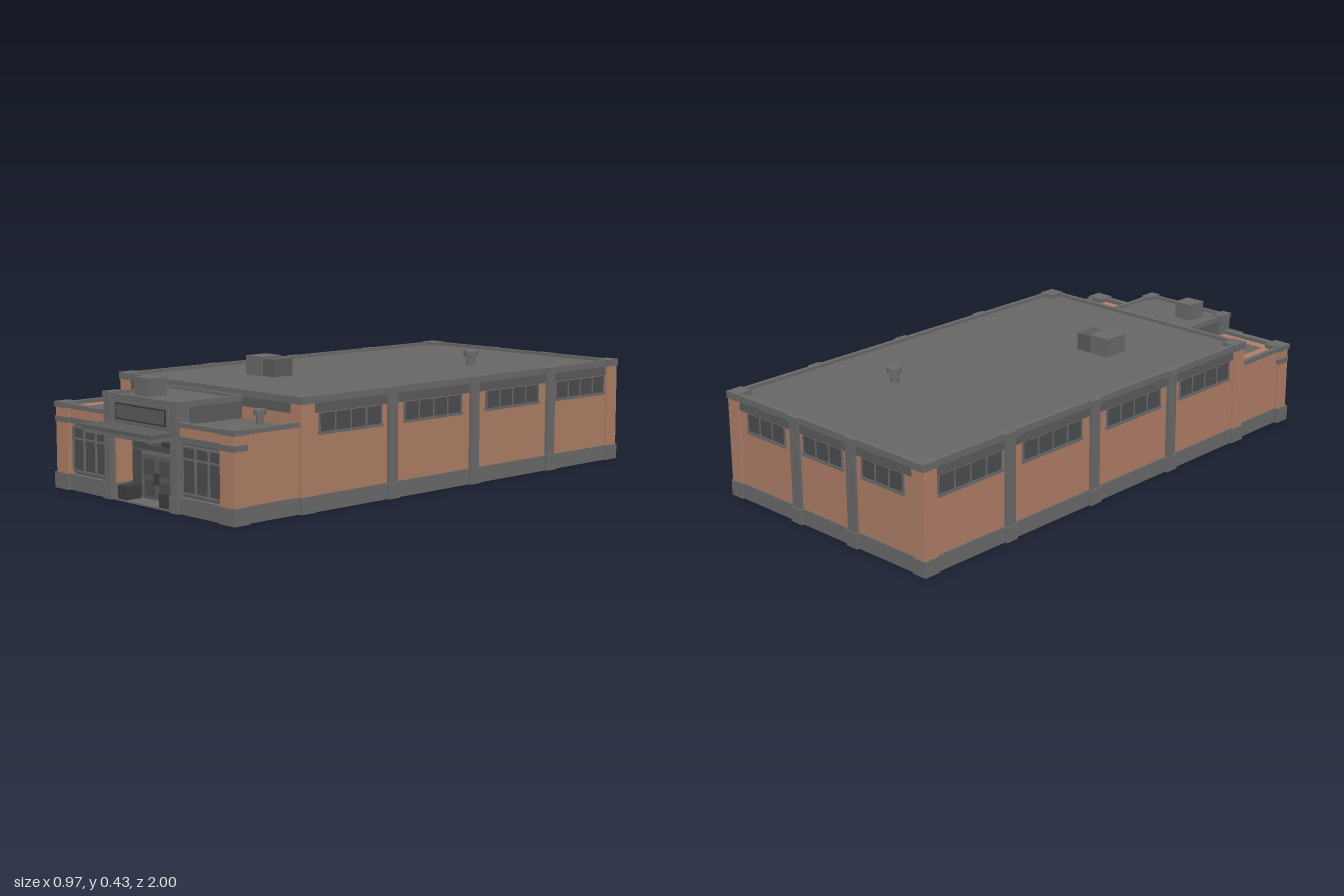
import * as THREE from 'three';

const mat = (name, color) => {
  const m = new THREE.MeshStandardMaterial({ color });
  m.name = name;
  return m;
};

export function createModel() {
  const brick = mat('brick', 0xb07f67);
  const trim = mat('grey trim', 0x6a6a6a);
  const roof = mat('roof grey', 0x686765);
  const panel = mat('grey panel', 0x5c5c5c);
  const glass = mat('dark glass', 0x4c4d4f);
  const dark = mat('dark metal', 0x3c3c3c);
  const model = new THREE.Group();
  model.name = 'building';

  // Box from its limits on each axis
  const box = (name, m, x0, x1, y0, y1, z0, z1, parent = model) => {
    const mesh = new THREE.Mesh(new THREE.BoxGeometry(x1 - x0, y1 - y0, z1 - z0), m);
    mesh.position.set((x0 + x1) / 2, (y0 + y1) / 2, (z0 + z1) / 2);
    mesh.name = name;
    parent.add(mesh);
    return mesh;
  };
  // Same box on both sides of x = 0
  const pair = (name, m, x0, x1, ...rest) => {
    box(name + 'Left', m, x0, x1, ...rest);
    box(name + 'Right', m, -x1, -x0, ...rest);
  };
  // Four thin walls around a flat roof
  const parapet = (name, x0, x1, y0, y1, z0, z1, t) => {
    const g = new THREE.Group();
    g.name = name;
    model.add(g);
    box('edgeRight', trim, x0, x0 + t, y0, y1, z0, z1, g);
    box('edgeLeft', trim, x1 - t, x1, y0, y1, z0, z1, g);
    box('edgeBack', trim, x0 + t, x1 - t, y0, y1, z0, z0 + t, g);
    box('edgeFront', trim, x0 + t, x1 - t, y0, y1, z1 - t, z1, g);
  };

  // Main hall
  box('hallBase', trim, -0.474, 0.474, 0, 0.055, -0.985, 0.62);
  box('hallWalls', brick, -0.468, 0.468, 0.055, 0.322, -0.98, 0.615);
  box('hallUpperBand', panel, -0.47, 0.47, 0.322, 0.355, -0.982, 0.617);
  box('hallRoof', roof, -0.465, 0.465, 0.355, 0.366, -0.975, 0.61);
  parapet('hallParapet', -0.474, 0.474, 0.355, 0.378, -0.987, 0.622, 0.016);

  // Brick corner piers with grey feet and caps
  for (const z of [-0.96, 0.595]) {
    pair('cornerPier', brick, 0.425, 0.477, 0.055, 0.355, z - 0.029, z + 0.029);
    pair('cornerFoot', trim, 0.425, 0.481, 0, 0.055, z - 0.032, z + 0.032);
    pair('cornerCap', trim, 0.423, 0.481, 0.355, 0.38, z - 0.032, z + 0.032);
  }

  // Side pilasters
  for (const z of [0.21, -0.195, -0.605]) {
    pair('pilaster', trim, 0.464, 0.479, 0, 0.37, z - 0.021, z + 0.021);
    pair('pilasterFoot', trim, 0.464, 0.484, 0, 0.055, z - 0.026, z + 0.026);
    pair('pilasterCap', trim, 0.464, 0.484, 0.355, 0.378, z - 0.026, z + 0.026);
  }
  // Side window strips
  for (const z of [0.4, 0.01, -0.4, -0.78]) {
    pair('sideWindow', glass, 0.464, 0.471, 0.258, 0.32, z - 0.14, z + 0.14);
    pair('sideSill', trim, 0.464, 0.475, 0.25, 0.259, z - 0.145, z + 0.145);
    for (const d of [-0.14, -0.07, 0, 0.07, 0.14])
      pair('sideMullion', trim, 0.464, 0.473, 0.258, 0.322, z + d - 0.003, z + d + 0.003);
  }

  // Back pilasters and window strips
  for (const x of [-0.14, 0.135]) {
    box('backPilaster', trim, x - 0.021, x + 0.021, 0, 0.37, -0.99, -0.976);
    box('backPilasterFoot', trim, x - 0.026, x + 0.026, 0, 0.055, -0.995, -0.976);
    box('backPilasterCap', trim, x - 0.026, x + 0.026, 0.355, 0.378, -0.995, -0.976);
  }
  for (const x of [-0.285, 0, 0.285]) {
    box('backWindow', glass, x - 0.095, x + 0.095, 0.258, 0.32, -0.983, -0.977);
    box('backSill', trim, x - 0.1, x + 0.1, 0.25, 0.259, -0.987, -0.977);
    for (const d of [-0.095, -0.032, 0.032, 0.095])
      box('backMullion', trim, x + d - 0.003, x + d + 0.003, 0.258, 0.322, -0.985, -0.977);
  }

  // Front wings: base, brick flank, window wall, fascia and low roof
  pair('wingBase', trim, 0.17, 0.466, 0, 0.055, 0.62, 0.897);
  pair('wingFlank', brick, 0.4, 0.462, 0.055, 0.285, 0.62, 0.885);
  pair('wingWall', panel, 0.17, 0.4, 0.055, 0.235, 0.62, 0.88);
  pair('wingBand', trim, 0.17, 0.415, 0.233, 0.252, 0.86, 0.897);
  pair('wingFascia', brick, 0.17, 0.415, 0.252, 0.285, 0.84, 0.89);
  pair('wingRoof', roof, 0.17, 0.455, 0.27, 0.283, 0.62, 0.885);
  pair('wingCopingFront', trim, 0.185, 0.47, 0.283, 0.298, 0.875, 0.9);
  pair('wingCopingSide', trim, 0.452, 0.47, 0.283, 0.298, 0.62, 0.875);
  pair('wingPier', brick, 0.405, 0.473, 0.055, 0.285, 0.848, 0.903);
  pair('wingPierFoot', trim, 0.402, 0.48, 0, 0.056, 0.845, 0.908);
  pair('wingPierBand', trim, 0.403, 0.475, 0.233, 0.252, 0.846, 0.906);
  pair('wingPierCap', trim, 0.41, 0.478, 0.283, 0.302, 0.845, 0.908);

  // Front window grids
  pair('frontWindow', glass, 0.2, 0.398, 0.065, 0.222, 0.878, 0.884);
  for (const x of [0.2, 0.266, 0.332, 0.396])
    pair('frontMullion', trim, x - 0.003, x + 0.003, 0.065, 0.222, 0.878, 0.89);
  for (const y of [0.068, 0.18, 0.22])
    pair('frontRail', trim, 0.2, 0.398, y - 0.003, y + 0.003, 0.878, 0.889);

  // Entrance block with a recessed porch
  box('porchBack', panel, -0.17, 0.17, 0, 0.23, 0.62, 0.82);
  pair('porchReveal', brick, 0.152, 0.17, 0.055, 0.23, 0.82, 0.885);
  box('porchStep', trim, -0.17, 0.17, 0, 0.006, 0.82, 0.9);
  box('entranceBlock', panel, -0.182, 0.182, 0.225, 0.345, 0.62, 0.89);
  box('entranceRoof', roof, -0.175, 0.175, 0.345, 0.35, 0.63, 0.885);
  parapet('entranceParapet', -0.187, 0.187, 0.34, 0.36, 0.622, 0.898, 0.014);
  pair('entrancePier', trim, 0.16, 0.194, 0, 0.355, 0.85, 0.905);
  pair('entrancePierFoot', trim, 0.157, 0.198, 0, 0.055, 0.85, 0.909);
  pair('entrancePierCap', trim, 0.157, 0.197, 0.345, 0.363, 0.847, 0.908);

  // Blank sign panel in a frame
  box('signFrame', trim, -0.147, 0.147, 0.267, 0.34, 0.885, 0.9);
  box('signPanel', dark, -0.135, 0.135, 0.275, 0.331, 0.896, 0.902);
  box('signFace', panel, -0.128, 0.128, 0.281, 0.325, 0.9, 0.904);

  // Canopy
  box('canopy', trim, -0.185, 0.175, 0.236, 0.258, 0.89, 0.995);
  box('canopyLip', panel, -0.19, 0.18, 0.25, 0.262, 0.89, 1.0);
  pair('porchLamp', dark, 0.045, 0.1, 0.195, 0.21, 0.82, 0.85);

  // Double door, side lights and planters
  box('doorFrame', trim, -0.09, 0.09, 0.006, 0.165, 0.818, 0.828);
  for (const s of [-1, 1]) {
    const x = s * 0.04;
    box('doorLeaf', panel, x - 0.037, x + 0.037, 0.008, 0.156, 0.82, 0.833);
    box('doorPaneUpper', glass, x - 0.025, x + 0.025, 0.09, 0.143, 0.83, 0.836);
    box('doorPaneLower', glass, x - 0.025, x + 0.025, 0.02, 0.072, 0.83, 0.836);
    box('doorHandle', dark, s * 0.008 - 0.003, s * 0.008 + 0.003, 0.06, 0.1, 0.83, 0.842);
  }
  pair('sideLight', glass, 0.095, 0.145, 0.02, 0.165, 0.818, 0.825);
  box('transom', glass, -0.145, 0.145, 0.172, 0.188, 0.818, 0.825);
  pair('planter', dark, 0.085, 0.135, 0.006, 0.052, 0.835, 0.895);

  // Roof equipment
  box('hallUnit', trim, -0.205, -0.122, 0.362, 0.434, 0.175, 0.27);
  box('hallUnitHood', panel, -0.122, -0.062, 0.362, 0.428, 0.175, 0.262);
  box('entranceUnit', trim, -0.122, -0.046, 0.348, 0.411, 0.755, 0.83);
  const vent = (name, x, y, z, r, h) => {
    const pts = [[0.6, 0], [0.6, 0.6], [1, 0.62], [1, 0.95], [0.9, 1], [0, 1]];
    const geo = new THREE.LatheGeometry(pts.map(([a, b]) => new THREE.Vector2(a * r, b * h)), 12);
    const mesh = new THREE.Mesh(geo.toNonIndexed(), trim);
    mesh.geometry.computeVertexNormals();
    mesh.position.set(x, y, z);
    mesh.name = name;
    model.add(mesh);
  };
  vent('hallVent', 0.163, 0.364, -0.515, 0.027, 0.06);
  vent('wingVent', 0.326, 0.282, 0.668, 0.021, 0.05);

  return model;
}
